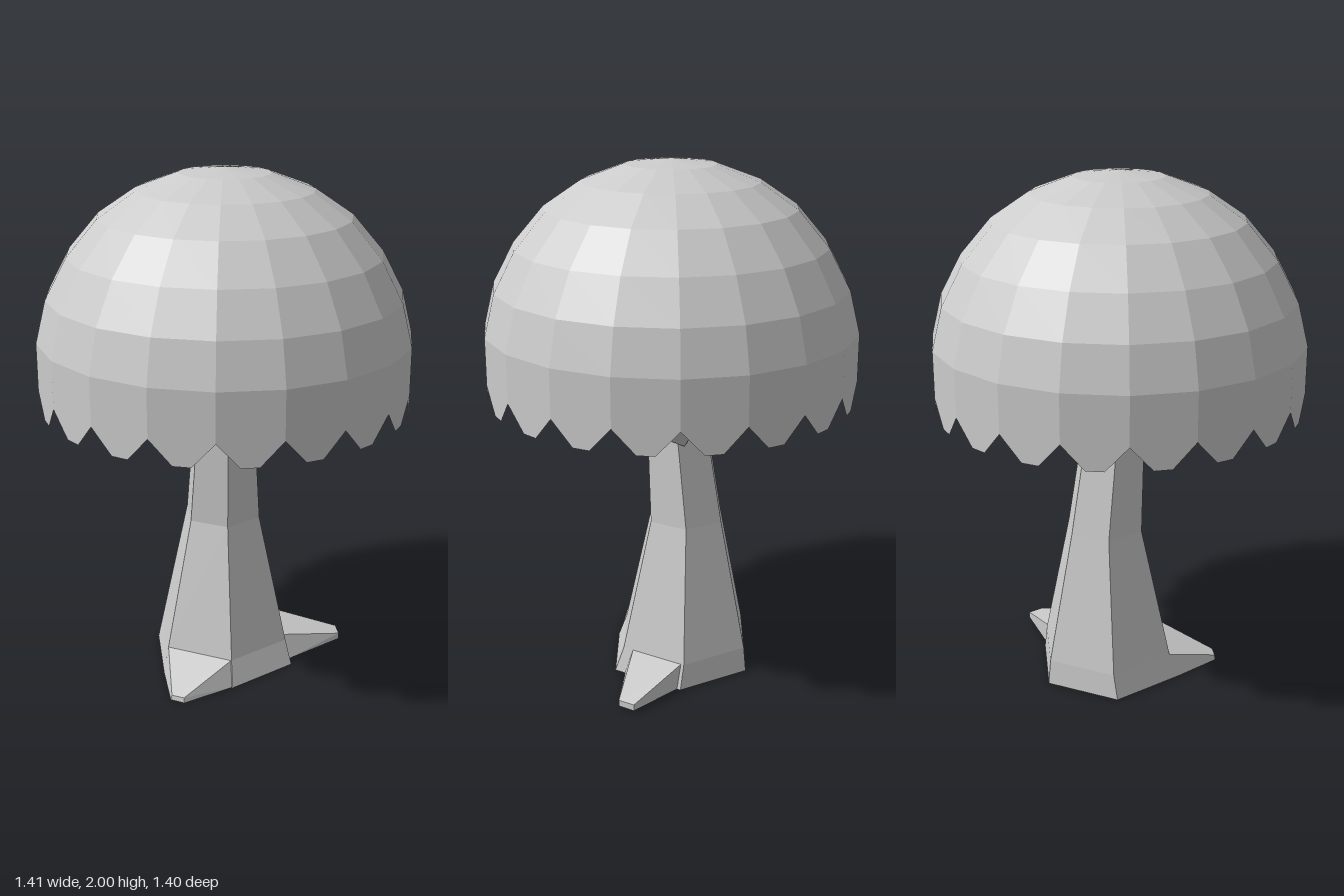
import * as THREE from 'three';
import { ConvexGeometry } from 'three/addons/geometries/ConvexGeometry.js';

const SIDES = 19;      // panels around the canopy
const RIM = 0.705;     // canopy radius

const mat = (double) => new THREE.MeshStandardMaterial({
  color: 0xcccccc, flatShading: true, side: double ? THREE.DoubleSide : THREE.FrontSide,
});

function part(name, geometry, double = false) {
  const mesh = new THREE.Mesh(geometry, mat(double));
  mesh.name = name;
  return mesh;
}

// Hollow dome, one corner pointing to the back
function canopyDome() {
  const profile = [[RIM, 1.2], [RIM, 1.38], [0.665, 1.54], [0.585, 1.69],
    [0.47, 1.825], [0.33, 1.92], [0.17, 1.98], [0, 2]].map(([r, y]) => new THREE.Vector2(r, y));
  return new THREE.LatheGeometry(profile, SIDES, Math.PI);
}

// One flat-ended tooth hanging below each panel
function canopyFringe() {
  const pos = [], index = [];
  const corner = (i) => {
    const a = Math.PI + (i / SIDES) * Math.PI * 2;
    return new THREE.Vector3(Math.sin(a) * RIM, 1.2, Math.cos(a) * RIM);
  };
  for (let i = 0; i < SIDES; i++) {
    const a = corner(i), b = corner(i + 1);
    const c = a.clone().lerp(b, 0.64).setY(1.11), d = a.clone().lerp(b, 0.36).setY(1.11);
    for (const p of [a, b, c, d]) pos.push(p.x, p.y, p.z);
    const o = i * 4;
    index.push(o, o + 3, o + 2, o, o + 2, o + 1);
  }
  const g = new THREE.BufferGeometry();
  g.setAttribute('position', new THREE.Float32BufferAttribute(pos, 3));
  g.setIndex(index);
  g.computeVertexNormals();
  return g;
}

// Six-sided trunk: each ring has [height, radius, z offset]
function trunk() {
  const rings = [[0, 0.3, -0.045], [0.1, 0.275, -0.06], [0.62, 0.157, -0.068],
    [1.2, 0.115, -0.005], [1.7, 0.08, 0.05]];
  const n = rings.length - 1;
  const g = new THREE.CylinderGeometry(1, 1, 1, 6, n);
  const p = g.attributes.position;
  for (let i = 0; i < p.count; i++) {
    const [y, r, z] = rings[Math.round((p.getY(i) + 0.5) * n)];
    p.setXYZ(i, p.getX(i) * r, y, p.getZ(i) * r + z);
  }
  g.computeVertexNormals();
  return g;
}

const hull = (points) => new ConvexGeometry(points.map((p) => new THREE.Vector3(...p)));

// Stub branch rising into the canopy towards the back left
function branch() {
  const start = new THREE.Vector3(0.085, 1.0, -0.085);
  const end = new THREE.Vector3(0.43, 1.34, -0.42);
  const mesh = part('branch', new THREE.CylinderGeometry(0.045, 0.068, start.distanceTo(end), 5));
  mesh.position.copy(start).lerp(end, 0.5);
  mesh.quaternion.setFromUnitVectors(new THREE.Vector3(0, 1, 0), end.clone().sub(start).normalize());
  return mesh;
}

export function createModel() {
  const model = new THREE.Group();
  model.name = 'tree';

  const canopy = new THREE.Group();
  canopy.name = 'canopy';
  canopy.add(part('dome', canopyDome(), true), part('fringe', canopyFringe(), true));

  // Roots spread from the trunk base and narrow to blunt tips
  const frontRoot = part('frontRoot', hull([
    [-0.238, 0.1, 0.075], [0, 0.1, 0.213], [-0.26, 0, 0.105], [0, 0, 0.25],
    [-0.245, 0.02, 0.31], [-0.2, 0.02, 0.335], [-0.25, 0, 0.31], [-0.2, 0, 0.34],
  ]));
  const sideRoot = part('sideRoot', hull([
    [0.237, 0.1, 0.035], [0.237, 0.1, -0.185], [0.258, 0, 0.06], [0.258, 0, -0.18],
    [0.49, 0.035, -0.06], [0.49, 0.035, -0.127], [0.49, 0.01, -0.06], [0.49, 0.01, -0.127],
  ]));

  model.add(canopy, part('trunk', trunk()), branch(), frontRoot, sideRoot);
  return model;
}
